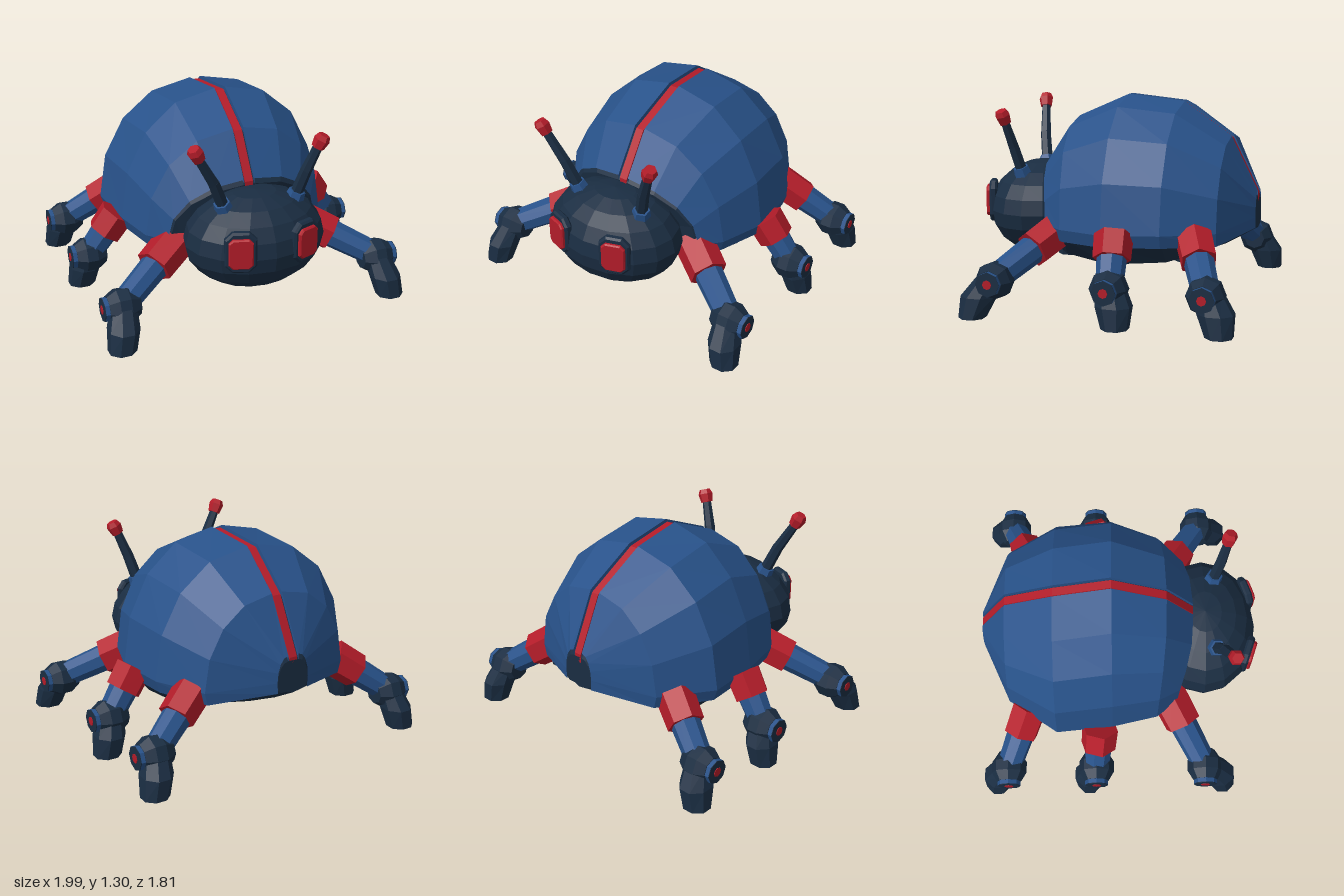
import * as THREE from 'three';

const mat = (name, color, side = THREE.FrontSide) => {
  const m = new THREE.MeshStandardMaterial({ color, side, flatShading: true });
  m.name = name;
  return m;
};

// Joins rings of [x, y, z] points; points run counter-clockwise about the loft direction
function loft(rings, closed = true) {
  const pos = [];
  const tri = (a, b, c) => pos.push(...a, ...b, ...c);
  const n = rings[0].length;
  for (let i = 0; i < rings.length - 1; i++) {
    for (let j = 0; j < (closed ? n : n - 1); j++) {
      const k = (j + 1) % n, a = rings[i], b = rings[i + 1];
      tri(a[j], a[k], b[k]);
      tri(a[j], b[k], b[j]);
    }
  }
  if (closed) {
    const first = rings[0], last = rings[rings.length - 1];
    for (let j = 1; j < n - 1; j++) {
      tri(first[0], first[j + 1], first[j]);
      tri(last[0], last[j], last[j + 1]);
    }
  }
  const g = new THREE.BufferGeometry();
  g.setAttribute('position', new THREE.Float32BufferAttribute(pos, 3));
  g.computeVertexNormals();
  return g;
}

// Stations from tail to head: z, half width, top, rim height, belly height, seam offset, rim sweep in z
const STATIONS = [
  [-0.89, 0.11, 0.71, 0.48, 0.465, 0, 0],
  [-0.72, 0.5, 1.05, 0.43, 0.37, 0.01, 0],
  [-0.41, 0.685, 1.26, 0.43, 0.255, -0.016, 0],
  [-0.05, 0.68, 1.3, 0.42, 0.225, 0.016, 0],
  [0.29, 0.6, 1.15, 0.42, 0.26, 0, -0.05],
  [0.47, 0.5, 0.88, 0.43, 0.32, 0, -0.1],
];
const GAP = 0.036;

// One half of the domed section, from the rim up to the seam
function arc(side, [z, w, top, rim, , seam, sweep], shrink = 1, drop = 0) {
  const mid = rim + Math.min(0.08, (top - rim) * 0.3);
  const pts = [[seam + side * w * 0.96 * shrink, rim + drop * 0.5, z + sweep * 1.2]];
  for (let i = 0; i < 4; i++) {
    const a = (i * Math.PI) / 8;
    const x = GAP + (w * shrink - GAP) * Math.cos(a) ** 0.92;
    pts.push([seam + side * x, mid + (top - drop - mid) * Math.sin(a), z + sweep * Math.cos(a) ** 2]);
  }
  pts.push([seam + side * GAP, top - drop, z]);
  return pts;
}

export function createModel() {
  const model = new THREE.Group();
  model.name = 'beetleRobot';
  const blue = mat('blue shell', 0x28528a);
  const blueWing = mat('blue wing', 0x28528a, THREE.DoubleSide);
  const dark = mat('dark navy', 0x1a2d42);
  const red = mat('red accent', 0xb31c29);

  const add = (name, geo, material, parent = model) => {
    const mesh = new THREE.Mesh(geo, material);
    mesh.name = name;
    parent.add(mesh);
    return mesh;
  };
  // Tapered prism between two points
  const limb = (name, a, b, r0, r1, sides, material, parent) => {
    const dir = b.clone().sub(a);
    const m = add(name, new THREE.CylinderGeometry(r1, r0, dir.length(), sides), material, parent);
    m.position.copy(a).addScaledVector(dir, 0.5);
    m.quaternion.setFromUnitVectors(new THREE.Vector3(0, 1, 0), dir.normalize());
  };
  const V = (x, y, z) => new THREE.Vector3(x, y, z);

  // Dark body: belly below, core under the wings above
  add('body', loft(STATIONS.map((s) => {
    const [z, w, , rim, low, seam, sweep] = s;
    const belly = [[-0.75, 0.06], [-0.38, 0.02], [0, 0], [0.38, 0.02], [0.75, 0.06]]
      .map(([x, up]) => [seam + x * w, Math.min(low + up, rim), z + sweep]);
    return [...belly, ...arc(1, s, 0.97, 0.035), ...arc(-1, s, 0.97, 0.035).reverse()];
  })), dark);

  // Wing covers with a seam wall
  for (const side of [1, -1]) {
    add(side > 0 ? 'leftWing' : 'rightWing', loft(STATIONS.map((s) => {
      const pts = arc(side, s);
      const [x, y, z] = pts[pts.length - 1];
      pts.push([x, y - 0.05, z]);
      return side > 0 ? pts : pts.reverse();
    }), false), blueWing);
  }

  // Red ridge inside the seam
  add('backStripe', loft(STATIONS.map(([z, , top, , , c]) => {
    const w = 0.026, hi = top - 0.015, lo = top - 0.07;
    return [[c + w, lo, z], [c + w, hi, z], [c - w, hi, z], [c - w, lo, z]];
  })), red);

  // Head
  const head = add('head', new THREE.SphereGeometry(1, 16, 10), dark);
  head.scale.set(0.45, 0.31, 0.345);
  head.position.set(0, 0.54, 0.55);

  // Chamfered plate for the eyes
  const plate = (w, h, c, depth, bevel) => {
    const x = w / 2 - bevel, y = h / 2 - bevel;
    const shape = new THREE.Shape([
      [x, -y + c], [x, y - c], [x - c, y], [-x + c, y],
      [-x, y - c], [-x, -y + c], [-x + c, -y], [x - c, -y],
    ].map(([px, py]) => new THREE.Vector2(px, py)));
    return new THREE.ExtrudeGeometry(shape, {
      depth, bevelEnabled: true, bevelSize: bevel, bevelThickness: bevel, bevelSegments: 1,
    });
  };

  for (const s of [1, -1]) {
    const label = s > 0 ? 'left' : 'right';

    // Eye
    const eye = new THREE.Group();
    eye.name = label + 'Eye';
    eye.position.set(s * 0.203, 0.595, 0.82);
    eye.rotation.y = s * 0.33;
    add('eyeSocket', plate(0.195, 0.265, 0.04, 0.025, 0.012), dark, eye);
    add('eyeLens', plate(0.15, 0.195, 0.022, 0.03, 0.008), red, eye).position.z = 0.02;
    model.add(eye);

    // Antenna
    const antenna = new THREE.Group();
    antenna.name = label + 'Antenna';
    model.add(antenna);
    const path = s > 0
      ? [V(0.24, 0.77, 0.61), V(0.295, 0.97, 0.655), V(0.35, 1.12, 0.685), V(0.385, 1.2, 0.7)]
      : [V(-0.22, 0.77, 0.61), V(-0.31, 0.99, 0.655), V(-0.41, 1.16, 0.685), V(-0.45, 1.24, 0.7)];
    const collarTop = path[0].clone().lerp(path[1], 0.28);
    limb('antennaCollar', path[0], collarTop, 0.062, 0.052, 6, blue, antenna);
    limb('antennaLower', path[0], path[1], 0.04, 0.036, 6, dark, antenna);
    limb('antennaUpper', path[1].clone().lerp(path[0], 0.06), path[2], 0.036, 0.03, 6, dark, antenna);
    const tipMid = path[2].clone().lerp(path[3], 0.65);
    limb('antennaTip', path[2], tipMid, 0.04, 0.05, 6, red, antenna);
    limb('antennaCap', tipMid, path[3], 0.05, 0.036, 6, red, antenna);
  }

  // Legs: shoulder, knee z, foot offset in z, sleeve span along the thigh, sleeve radius
  const legs = [
    ['front', [0.38, 0.49, 0.28], 0.56, 0.13, [0.06, 0.48], 0.128],
    ['middle', [0.66, 0.52, -0.13], -0.16, -0.05, [0.05, 0.5], 0.12],
    ['rear', [0.48, 0.51, -0.57], -0.74, -0.09, [0.1, 0.5], 0.12],
  ];
  const kneeProfile = [[0, -0.115], [0.07, -0.115], [0.115, -0.045], [0.115, 0.025], [0.08, 0.085], [0, 0.085]]
    .map(([r, h]) => new THREE.Vector2(r, h));

  for (const s of [1, -1]) {
    for (const [label, [sx, sy, sz], kz, footZ, [t0, t1], sleeveR] of legs) {
      const leg = new THREE.Group();
      leg.name = label + (s > 0 ? 'LeftLeg' : 'RightLeg');
      model.add(leg);
      const a = V(s * sx, sy, sz), b = V(s * 0.86, 0.235, kz);
      const at = (t) => a.clone().lerp(b, t);

      limb('thigh', at(t0 + 0.1), b, 0.097, 0.082, 8, blue, leg);
      limb('sleeve', at(t0), at(t1), sleeveR, sleeveR * 0.96, 6, red, leg);

      // Knee joint with layered outer cap
      const knee = new THREE.Group();
      knee.name = 'knee';
      knee.position.set(s * 0.875, 0.225, kz);
      knee.rotation.z = -s * Math.PI / 2;
      leg.add(knee);
      add('kneeBall', new THREE.LatheGeometry(kneeProfile, 8), dark, knee);
      const disc = (name, r, y0, y1, material) => {
        add(name, new THREE.CylinderGeometry(r, r, y1 - y0, 8), material, knee).position.y = (y0 + y1) / 2;
      };
      disc('kneeRing', 0.076, 0.07, 0.112, blue);
      disc('kneeCap', 0.076, 0.112, 0.116, dark);
      disc('kneeDot', 0.029, 0.11, 0.12, red);

      // Foot, flat on the ground
      const ring = (x, y, z, rx, rz) => Array.from({ length: 8 }, (_, i) => {
        const t = ((i + 0.5) * Math.PI) / 4;
        return [s * x + rx * Math.cos(t), y, z - rz * Math.sin(t)];
      });
      add('foot', loft([
        ring(0.913, 0, kz + footZ, 0.09, 0.085),
        ring(0.89, 0.13, kz + footZ * 0.72, 0.1, 0.115),
        ring(0.865, 0.25, kz + footZ * 0.2, 0.08, 0.085),
      ]), dark, leg);
    }
  }
  return model;
}
